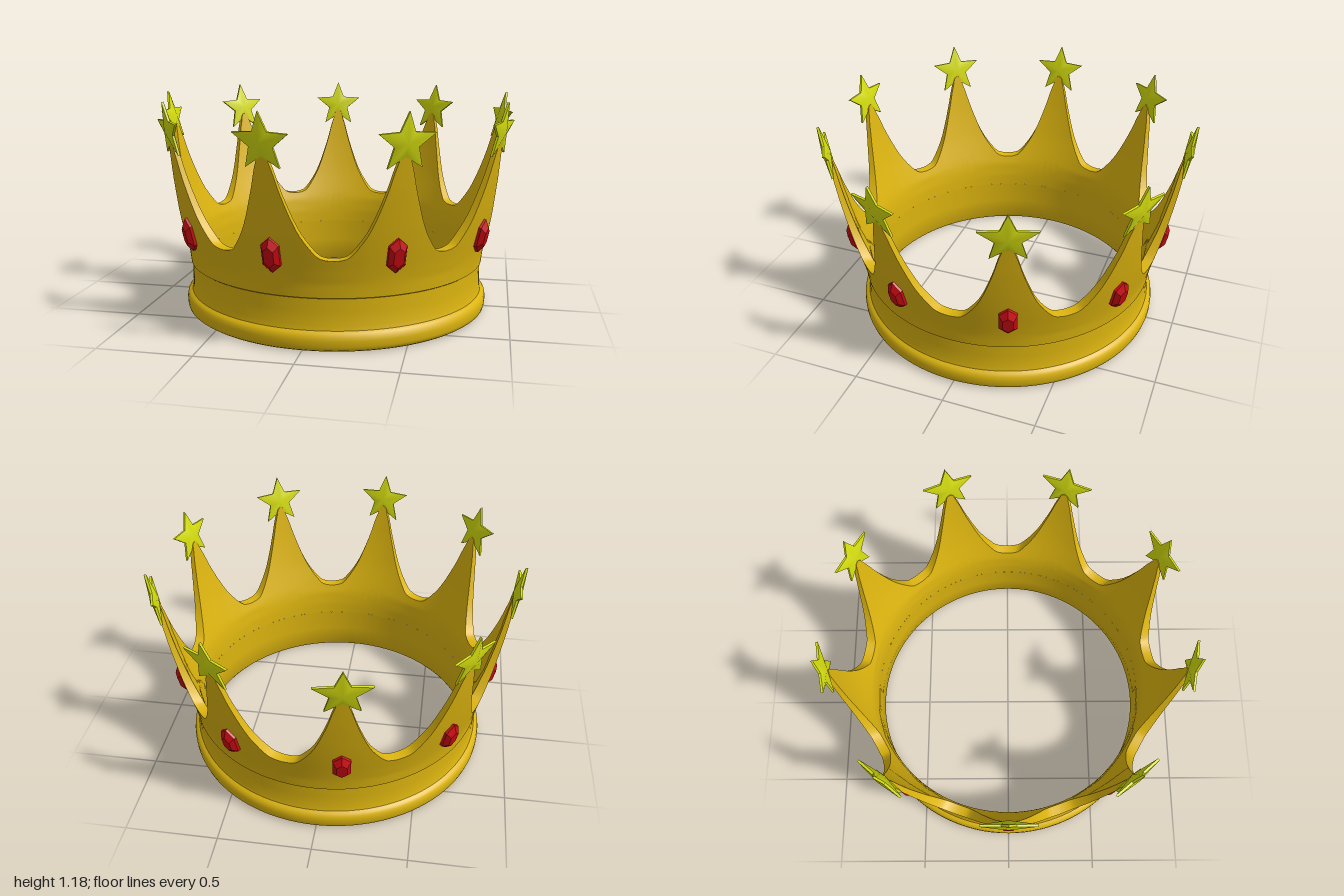
import * as THREE from 'three';
import { toCreasedNormals } from 'three/addons/utils/BufferGeometryUtils.js';
import { ConvexGeometry } from 'three/addons/geometries/ConvexGeometry.js';

const COUNT = 9;
const RAD = Math.PI / 180;
const STEP = 360 / COUNT;
const START = -90;

const gold = new THREE.MeshStandardMaterial({ color: 0xdcb40f });
gold.name = 'gold';
const starYellow = new THREE.MeshStandardMaterial({ color: 0xd6de0f });
starYellow.name = 'starYellow';
const ruby = new THREE.MeshStandardMaterial({ color: 0xc80a12 });
ruby.name = 'ruby';

// Piecewise linear lookup in a list of [key, value]
function lookup(table, k) {
  for (let i = 1; i < table.length; i++) {
    const [k0, v0] = table[i - 1], [k1, v1] = table[i];
    if (k <= k1) return v0 + (v1 - v0) * Math.max(0, (k - k0) / (k1 - k0));
  }
  return table[table.length - 1][1];
}

// Wall radius by height: the wall flares outward towards the tips
const OUTER = [[0.27, 0.826], [0.34, 0.834], [0.42, 0.852], [0.5, 0.872], [0.6, 0.895], [0.7, 0.915], [0.8, 0.934], [1.0, 0.966]];
const INNER = [[0.27, 0.78], [0.34, 0.783], [0.42, 0.794], [0.5, 0.82], [0.6, 0.853], [0.7, 0.88], [0.8, 0.904], [1.0, 0.944]];

// Height of the rim by angle in degrees from a spike's axis to the valley
const RIM = new THREE.SplineCurve([
  [0, 1.0], [1.1, 0.99], [1.8, 0.95], [2.8, 0.9], [4.5, 0.8], [7.6, 0.66],
  [10.5, 0.57], [14.5, 0.49], [17.2, 0.47], [20, 0.465],
].map(([a, y]) => new THREE.Vector2(a, y)));

// Spiked wall: columns around the ring, each running up the outside and down the inside
function wallGeometry() {
  const half = RIM.getPoints(22);
  const columns = [];
  for (let k = 0; k < COUNT; k++) {
    const axis = START + k * STEP;
    for (let i = half.length - 1; i > 0; i--) columns.push([axis - half[i].x, half[i].y]);
    for (let i = 0; i < half.length - 1; i++) columns.push([axis + half[i].x, half[i].y]);
  }
  const ROWS = 14, rows = 2 * (ROWS + 1);
  const pos = [], index = [];
  columns.forEach(([deg, top]) => {
    const s = Math.sin(deg * RAD), c = Math.cos(deg * RAD);
    for (let j = 0; j < rows; j++) {
      const outside = j <= ROWS;
      const y = 0.27 + (top - 0.27) * (outside ? j : rows - 1 - j) / ROWS;
      const r = lookup(outside ? OUTER : INNER, y);
      pos.push(r * s, y, r * c);
    }
  });
  columns.forEach((_, i) => {
    const a = i * rows, b = ((i + 1) % columns.length) * rows;
    for (let j = 0; j < rows - 1; j++) {
      index.push(a + j, b + j, b + j + 1, a + j, b + j + 1, a + j + 1);
    }
  });
  const g = new THREE.BufferGeometry();
  g.setAttribute('position', new THREE.Float32BufferAttribute(pos, 3));
  g.setIndex(index);
  return toCreasedNormals(g, 0.7);
}

// Lower band with a rounded foot ring, closed on the inside
function bandGeometry() {
  const profile = [
    [0.78, 0.27], [0.78, 0.14], [0.78, 0.02], [0.79, 0.004], [0.81, 0], [0.835, 0.003], [0.848, 0.012],
    [0.853, 0.03], [0.854, 0.06], [0.85, 0.082], [0.84, 0.095], [0.826, 0.104],
    [0.82, 0.13], [0.818, 0.2], [0.819, 0.265], [0.826, 0.27],
  ].map(([r, y]) => new THREE.Vector2(r, y));
  return toCreasedNormals(new THREE.LatheGeometry(profile, 108), 0.75);
}

// Puffed five-pointed star with a thin rim
function starGeometry() {
  const R = 0.148, r = 0.064, edge = 0.006, puff = 0.024;
  const pos = [], index = [];
  const add = (x, y, z) => pos.push(x, y, z) / 3 - 1;
  for (const side of [1, -1]) {
    const centre = add(0, 0, side * puff);
    for (let i = 0; i < 10; i++) {
      const q = i % 2 ? r : R, a = i * Math.PI / 5;
      add(-q * Math.sin(a), q * Math.cos(a), side * edge);
    }
    for (let i = 0; i < 10; i++) {
      const a = centre + 1 + i, b = centre + 1 + (i + 1) % 10;
      if (side > 0) index.push(centre, a, b);
      else index.push(centre, b, a);
    }
  }
  for (let i = 0; i < 10; i++) {
    const a = 1 + i, b = 1 + (i + 1) % 10;
    index.push(a, a + 11, b + 11, a, b + 11, b);
  }
  const g = new THREE.BufferGeometry();
  g.setAttribute('position', new THREE.Float32BufferAttribute(pos, 3));
  g.setIndex(index);
  return toCreasedNormals(g, 0.8);
}

// Long six-sided cut gem with a flat table
function gemGeometry() {
  const points = [];
  for (const [scale, z] of [[0.6, -0.03], [1, -0.008], [1, 0.01], [0.58, 0.034]]) {
    for (const [x, y] of [[0, 0.092], [0.046, 0.052], [0.046, -0.052], [0, -0.092], [-0.046, -0.052], [-0.046, 0.052]]) {
      points.push(new THREE.Vector3(x * scale, y * scale, z));
    }
  }
  return new ConvexGeometry(points);
}

export function createModel() {
  const crown = new THREE.Group();
  crown.name = 'crown';

  const add = (name, geometry, material) => {
    const mesh = new THREE.Mesh(geometry, material);
    mesh.name = name;
    crown.add(mesh);
    return mesh;
  };
  // Sets a part on the ring, facing outward and leaning with the wall
  const place = (mesh, deg, radius, y, lean) => {
    const a = deg * RAD;
    mesh.position.set(radius * Math.sin(a), y, radius * Math.cos(a));
    mesh.rotation.set(lean, a, 0, 'YXZ');
  };

  add('band', bandGeometry(), gold);
  add('spikedWall', wallGeometry(), gold);

  // One star and one gem for every spike
  const star = starGeometry(), gem = gemGeometry();
  for (let k = 0; k < COUNT; k++) {
    const deg = START + k * STEP;
    place(add('star', star, starYellow), deg, 0.967, 1.035, 0.18);
    place(add('gem', gem, ruby), deg, 0.872, 0.485, 0.22);
  }

  crown.position.x = 0.012;
  return crown;
}
